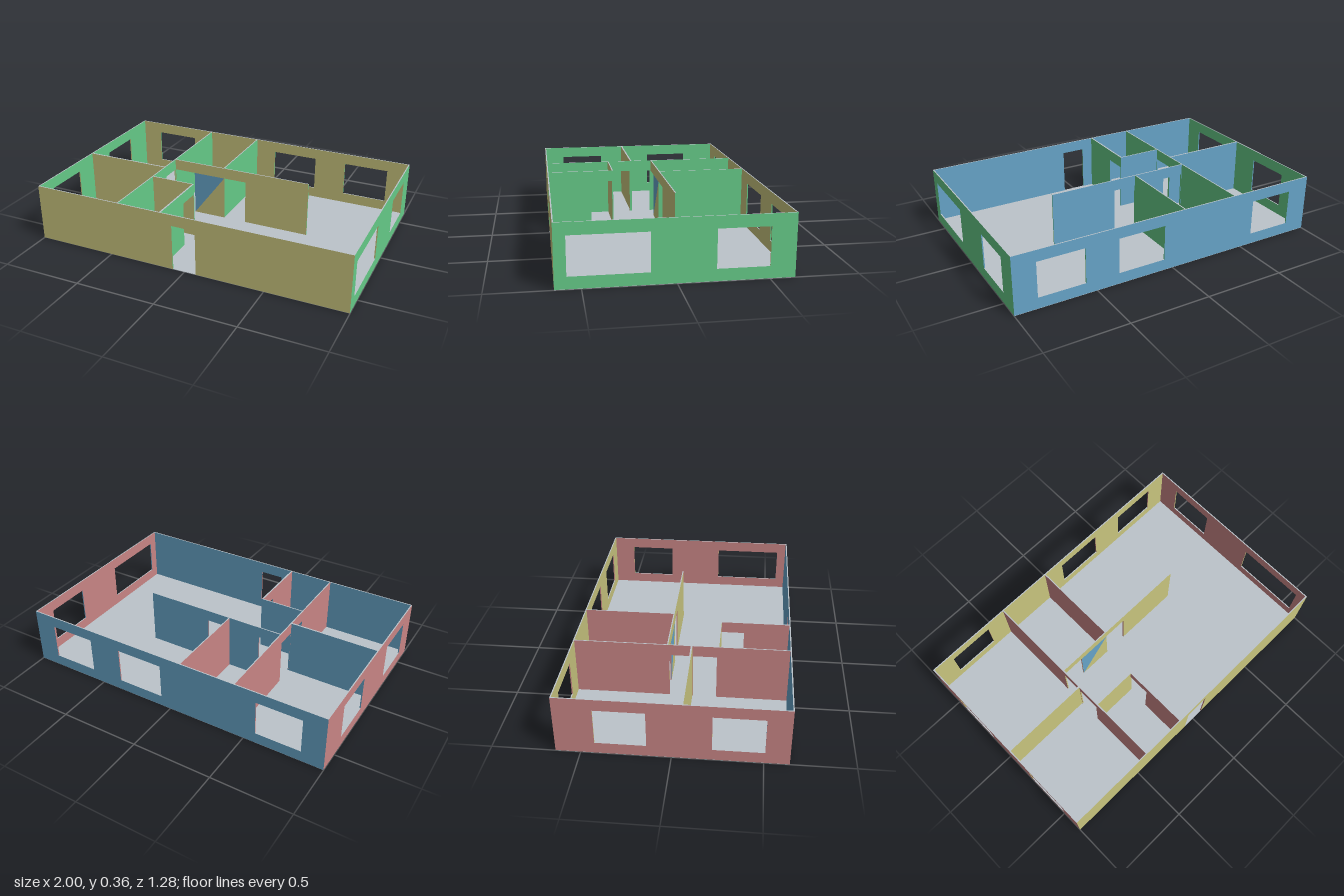
import * as THREE from 'three';

const paint = (name, color) => {
  const m = new THREE.MeshStandardMaterial({ color });
  m.name = name;
  return m;
};

export function createModel() {
  const yellow = paint('yellow', 0xc8c47e);
  const green = paint('green', 0x66cb88);
  const blue = paint('blue', 0x66a4c8);
  const red = paint('red', 0xc88585);
  const grey = paint('grey', 0xbcc4ca);
  // every wall is painted by the direction each side faces
  const sides = [green, red, grey, grey, yellow, blue];

  const H = 0.36, BASE = 0.002, T = 0.007;
  const SILL = 0.07, LINTEL = 0.29;
  const door = (a, b) => ({ a, b, low: BASE });
  const win = (a, b) => ({ a, b, low: SILL });

  const model = new THREE.Group();
  model.name = 'housePlan';

  // a wall along x or z from a to b; 'at' is its centre line, openings are in ascending order
  function wall(name, axis, at, a, b, openings = [], t = T) {
    const group = new THREE.Group();
    group.name = name;
    const piece = (p, q, low, high) => {
      if (q - p < 1e-4 || high - low < 1e-4) return;
      const len = q - p, h = high - low, mid = (p + q) / 2;
      const alongX = axis === 'x';
      const mesh = new THREE.Mesh(new THREE.BoxGeometry(alongX ? len : t, h, alongX ? t : len), sides);
      mesh.position.set(alongX ? mid : at, (low + high) / 2, alongX ? at : mid);
      mesh.name = name + 'Panel';
      group.add(mesh);
    };
    let from = a;
    for (const o of openings) {
      piece(from, o.a, BASE, H);
      piece(o.a, o.b, BASE, o.low);
      piece(o.a, o.b, LINTEL, H);
      from = o.b;
    }
    piece(from, b, BASE, H);
    model.add(group);
  }

  // floor slab
  const floor = new THREE.Mesh(new THREE.BoxGeometry(2, 0.004, 1.28), grey);
  floor.name = 'floor';
  floor.scale.set(0.999, 1, 0.999);
  floor.position.y = 0.002;
  model.add(floor);

  // outer walls
  const ex = 1 - T / 2, ez = 0.64 - T / 2;
  wall('frontWall', 'x', ez, -1, 1, [door(-0.075, 0.075)]);
  wall('backWall', 'x', -ez, -1, 1, [win(-0.86, -0.575), win(0.07 - 0.01, 0.36), win(0.57, 0.86)]);
  wall('leftWall', 'z', ex, -0.64, 0.64, [win(-0.5, -0.21), win(0.14, 0.575)]);
  wall('rightWall', 'z', -ex, -0.64, 0.64, [win(-0.42, -0.135), win(0.22, 0.505)]);

  // inner partitions
  wall('longPartition', 'z', -0.435, -ez, ez, [door(-0.07, 0.055), door(0.07, 0.21)]);
  wall('hallPartition', 'x', -0.08, -0.435, 0.5, [door(-0.43, -0.29), door(-0.075, 0.075)]);
  wall('backRoomPartition', 'z', -0.0785, -ez, -0.08);
  wall('bedroomPartition', 'x', 0.061, -ex, -0.435, [], 0.01);
  wall('bathroomBackPartition', 'x', 0.2185, -0.435, -0.145);
  wall('bathroomSidePartition', 'z', -0.15, 0.215, ez, [door(0.222, 0.36)], 0.01);

  // blue triangle on the hall partition between its two doors
  const tri = new THREE.BufferGeometry().setFromPoints([
    new THREE.Vector3(-0.29, LINTEL, 0),
    new THREE.Vector3(-0.29, 0.004, 0),
    new THREE.Vector3(-0.075, LINTEL, 0),
  ]);
  tri.computeVertexNormals();
  const patch = new THREE.Mesh(tri, blue);
  patch.name = 'hallPartitionPatch';
  patch.position.z = -0.0755;
  model.add(patch);

  return model;
}
